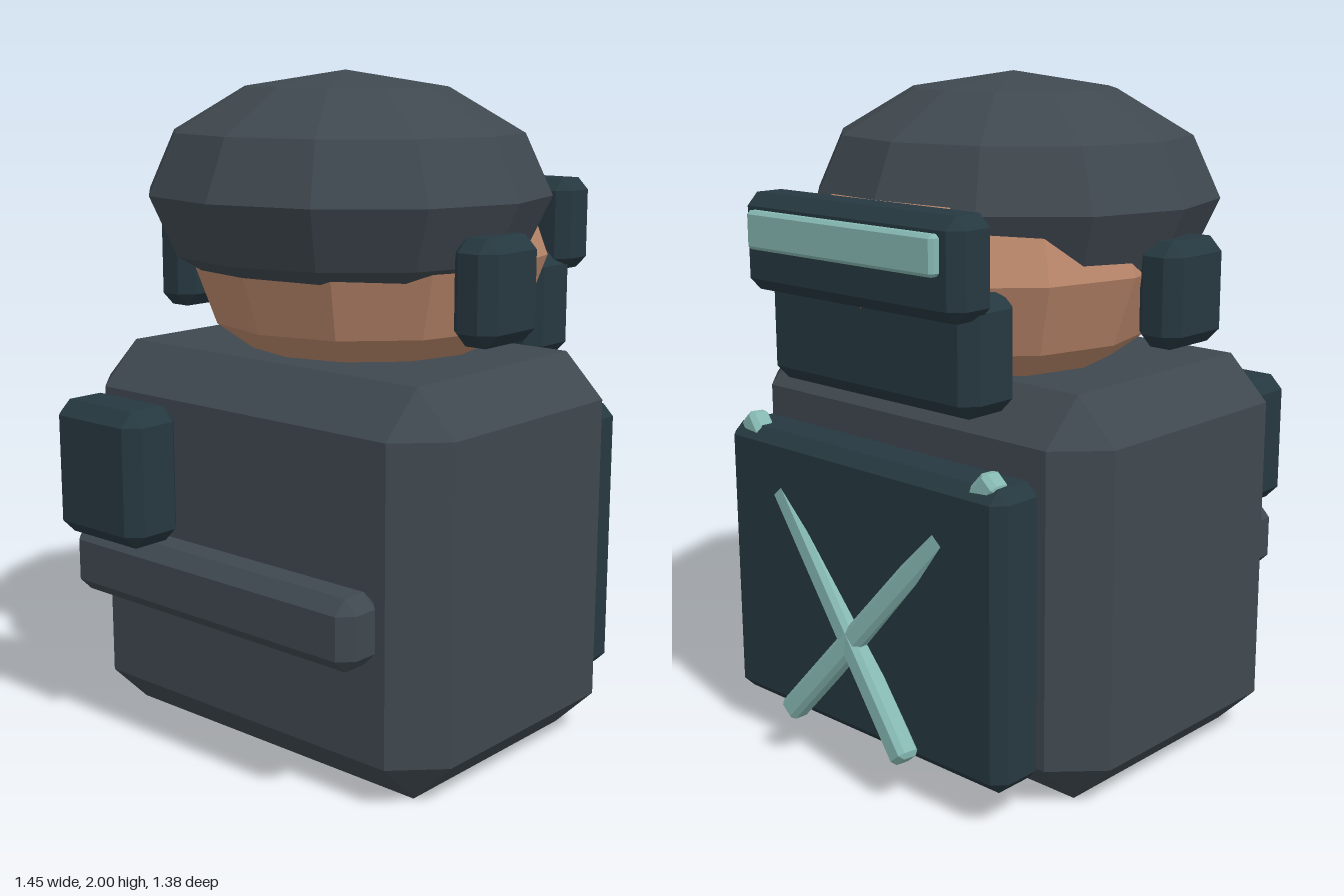
import * as THREE from 'three';
import { ConvexGeometry } from 'three/addons/geometries/ConvexGeometry.js';

const material = (color) => new THREE.MeshStandardMaterial({ color, flatShading: true });

// Box with every edge cut by a flat chamfer c
function chamferBox(w, h, d, c) {
  const points = [];
  const half = [w / 2, h / 2, d / 2];
  for (const sx of [-1, 1]) for (const sy of [-1, 1]) for (const sz of [-1, 1]) {
    for (let axis = 0; axis < 3; axis++) {
      const [x, y, z] = half.map((v, i) => (i === axis ? v : v - c));
      points.push(new THREE.Vector3(sx * x, sy * y, sz * z));
    }
  }
  return new ConvexGeometry(points);
}

export function createModel() {
  const model = new THREE.Group();
  const cloth = material(0x3f484f);
  const gear = material(0x263840);
  const skin = material(0xb9866a);
  const accent = material(0x86b8b2);

  function add(name, geometry, mat) {
    const mesh = new THREE.Mesh(geometry, mat);
    mesh.name = name;
    model.add(mesh);
    return mesh;
  }

  // Chamfered block given by its [min, max] extent on each axis
  function block(name, mat, x, y, z, c) {
    const geometry = chamferBox(x[1] - x[0], y[1] - y[0], z[1] - z[0], c);
    const mesh = add(name, geometry, mat);
    mesh.position.set((x[0] + x[1]) / 2, (y[0] + y[1]) / 2, (z[0] + z[1]) / 2);
    return mesh;
  }

  // Faceted ellipsoid
  function ellipsoid(name, mat, position, radii) {
    const mesh = add(name, new THREE.SphereGeometry(1, 12, 6).scale(...radii), mat);
    mesh.position.set(...position);
  }

  // Body, chest plate, belt and pouch
  block('body', cloth, [-0.5, 0.468], [0, 1.18], [-0.69, 0.69], 0.13);
  block('chestPlate', gear, [0.465, 0.648], [0.11, 0.97], [-0.56, 0.56], 0.036);
  block('belt', cloth, [-0.655, -0.5], [0.44, 0.645], [-0.56, 0.56], 0.04);
  block('pouch', gear, [-0.73, -0.53], [0.645, 1.05], [-0.54, -0.18], 0.042);

  // Head and helmet
  ellipsoid('head', skin, [0.08, 1.46, 0], [0.55, 0.4, 0.545]);
  ellipsoid('helmet', cloth, [-0.022, 1.645, 0], [0.575, 0.355, 0.63]);

  // Mask, goggles and lens
  block('mask', gear, [0.39, 0.6], [1.12, 1.45], [-0.41, 0.41], 0.042);
  block('goggles', gear, [0.505, 0.665], [1.39, 1.67], [-0.43, 0.43], 0.036);
  block('lens', accent, [0.63, 0.695], [1.515, 1.625], [-0.37, 0.37], 0.01);

  // Ear covers and the crossed straps, which pass through the chest plate
  for (const side of [1, -1]) {
    const z = side > 0 ? [0.515, 0.663] : [-0.663, -0.515];
    block(side > 0 ? 'earCoverFront' : 'earCoverBack', gear, [-0.195, 0.06], [1.26, 1.56], z, 0.04);

    const top = new THREE.Vector3(0.59, 0.99, 0.5 * side);
    const bottom = new THREE.Vector3(0.69, 0.14, -0.243 * side);
    const along = top.clone().sub(bottom);
    const length = along.length();
    along.normalize();
    const across = new THREE.Vector3().crossVectors(new THREE.Vector3(1, 0, 0), along).normalize();
    const outward = new THREE.Vector3().crossVectors(along, across);
    const strap = add(side > 0 ? 'strapA' : 'strapB', chamferBox(0.07, length, 0.07, 0.014), accent);
    strap.quaternion.setFromRotationMatrix(new THREE.Matrix4().makeBasis(outward, along, across));
    strap.position.copy(top).add(bottom).multiplyScalar(0.5);
  }
  return model;
}
